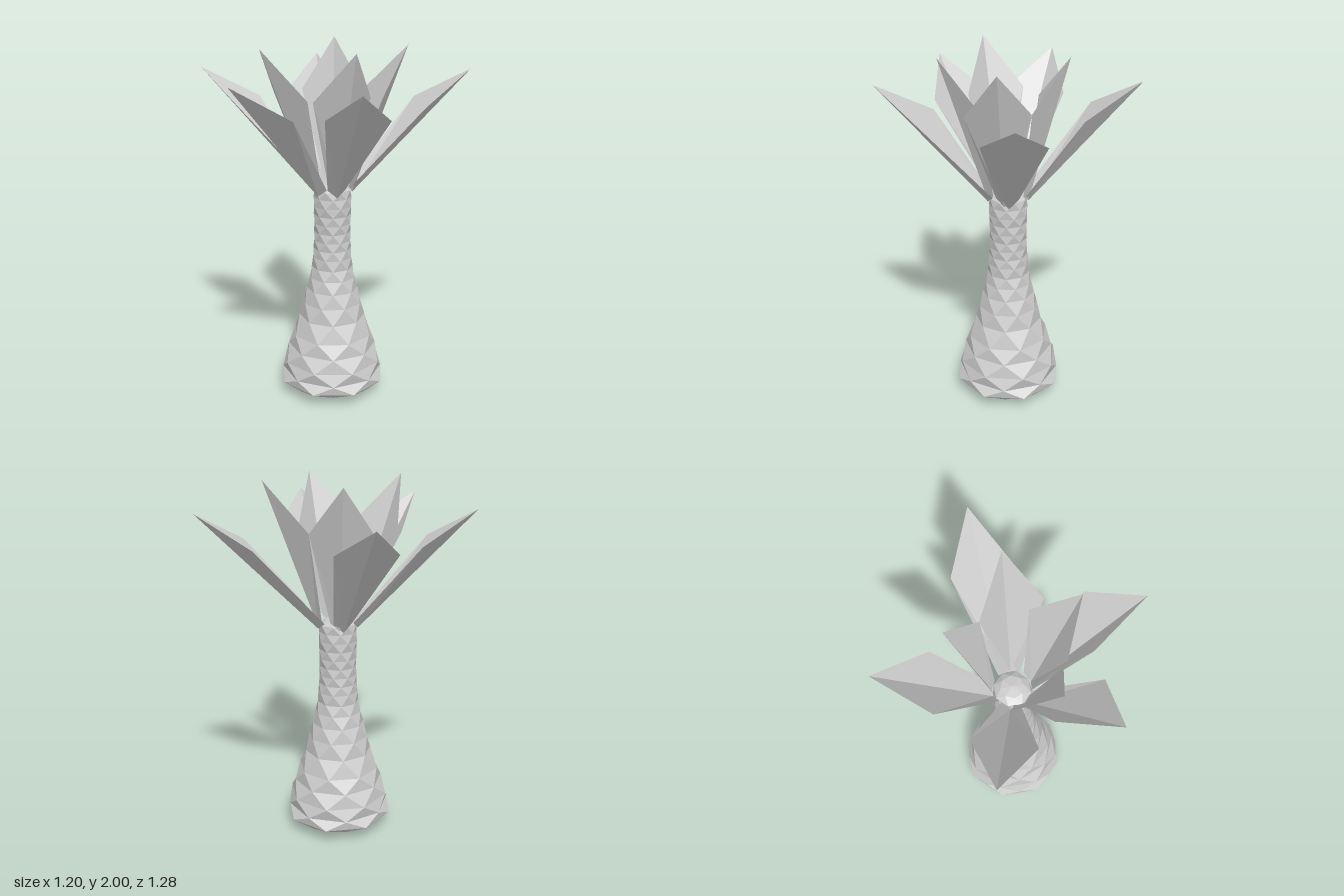
import * as THREE from 'three';

const CX = 0.04, CZ = -0.04; // trunk axis
const SIDES = 8;

const trunkMaterial = new THREE.MeshStandardMaterial({ color: 0xcccccc, flatShading: true });
const leafMaterial = new THREE.MeshStandardMaterial({
  color: 0xcccccc, flatShading: true, side: THREE.DoubleSide,
});

function meshFrom(positions, indices, material, name) {
  const geometry = new THREE.BufferGeometry();
  geometry.setAttribute('position', new THREE.Float32BufferAttribute(positions, 3));
  geometry.setIndex(indices);
  geometry.computeVertexNormals();
  const mesh = new THREE.Mesh(geometry, material);
  mesh.name = name;
  return mesh;
}

// Trunk: rings turned by half a step each, joined into diamond facets
function makeTrunk() {
  const rings = [ // [height, radius]
    [0.02, 0.2], [0.05, 0.25], [0.08, 0.3], [0.13, 0.285], [0.2, 0.28], [0.28, 0.25],
    [0.36, 0.227], [0.46, 0.187], [0.55, 0.168], [0.63, 0.146], [0.7, 0.13], [0.76, 0.116],
    [0.82, 0.113], [0.87, 0.107], [0.92, 0.106], [0.97, 0.103], [1.02, 0.105], [1.07, 0.104],
    [1.12, 0.108], [1.17, 0.105], [1.215, 0.103], [1.24, 0.065],
  ];
  const positions = [], indices = [];
  rings.forEach(([y, r], k) => {
    for (let i = 0; i < SIDES; i++) {
      const a = ((i + (k % 2 ? 0 : 0.5)) / SIDES) * Math.PI * 2;
      positions.push(CX + r * Math.cos(a), y, CZ + r * Math.sin(a));
    }
  });
  for (let k = 0; k < rings.length - 1; k++) {
    for (let i = 0; i < SIDES; i++) {
      const j = (i + 1) % SIDES;
      const low = k * SIDES, high = low + SIDES;
      if (k % 2) indices.push(low + i, high + i, low + j, high + i, high + j, low + j);
      else indices.push(low + i, high + i, high + j, low + i, high + j, low + j);
    }
  }
  // Closing points below and above
  const bottom = rings.length * SIDES, top = bottom + 1, last = bottom - SIDES;
  positions.push(CX, 0, CZ, CX, 1.25, CZ);
  for (let i = 0; i < SIDES; i++) {
    const j = (i + 1) % SIDES;
    indices.push(bottom, i, j, top, last + j, last + i);
  }
  return meshFrom(positions, indices, trunkMaterial, 'trunk');
}

// Leaf: two flat halves folded along the line from base to tip
function makeLeaf([tip, sideA, sideB], tipY, sideY, baseY, name) {
  const dir = new THREE.Vector2(
    (sideA[0] + sideB[0]) / 2 + tip[0] - 2 * CX,
    (sideA[1] + sideB[1]) / 2 + tip[1] - 2 * CZ,
  ).normalize();
  const across = new THREE.Vector2(-dir.y, dir.x);
  const towardA = Math.sign((sideA[0] - sideB[0]) * across.x + (sideA[1] - sideB[1]) * across.y);
  const base = (out, side, y) => [
    CX + dir.x * out + across.x * side, y, CZ + dir.y * out + across.y * side,
  ];
  const positions = [
    ...base(0.11, 0, baseY),
    ...base(0.09, 0.05 * towardA, baseY + 0.04),
    ...base(0.09, -0.05 * towardA, baseY + 0.04),
    sideA[0], sideY, sideA[1],
    sideB[0], sideY, sideB[1],
    tip[0], tipY, tip[1],
  ];
  return meshFrom(positions, [0, 1, 3, 0, 3, 5, 0, 4, 2, 0, 5, 4], leafMaterial, name);
}

export function createModel() {
  const model = new THREE.Group();
  model.name = 'palmTree';
  model.add(makeTrunk());

  // Each leaf as [tip, one side, other side], in x and z
  const outerLeaves = [
    [[-0.6, 0.33], [-0.435, 0.05], [-0.285, 0.345]],
    [[-0.02, 0.64], [-0.13, 0.33], [0.19, 0.405]],
    [[0.6, 0.36], [0.525, 0.055], [0.285, 0.28]],
    [[0.5, -0.64], [0.2, -0.535], [0.45, -0.32]],
    [[-0.5, -0.475], [-0.435, -0.165], [-0.185, -0.38]],
  ];
  const innerLeaves = [
    [[-0.107, 0.35], [-0.22, 0.145], [0.103, 0.217]],
    [[0.36, 0.135], [0.26, -0.093], [0.14, 0.215]],
    [[0.33, -0.305], [0.065, -0.255], [0.353, -0.07]],
    [[-0.172, -0.278], [0.065, -0.255], [-0.18, -0.03]],
  ];
  const crown = new THREE.Group();
  crown.name = 'crown';
  outerLeaves.forEach((leaf) => crown.add(makeLeaf(leaf, 1.855, 1.68, 1.19, 'outerLeaf')));
  innerLeaves.forEach((leaf) => crown.add(makeLeaf(leaf, 2, 1.74, 1.2, 'innerLeaf')));
  model.add(crown);
  return model;
}
